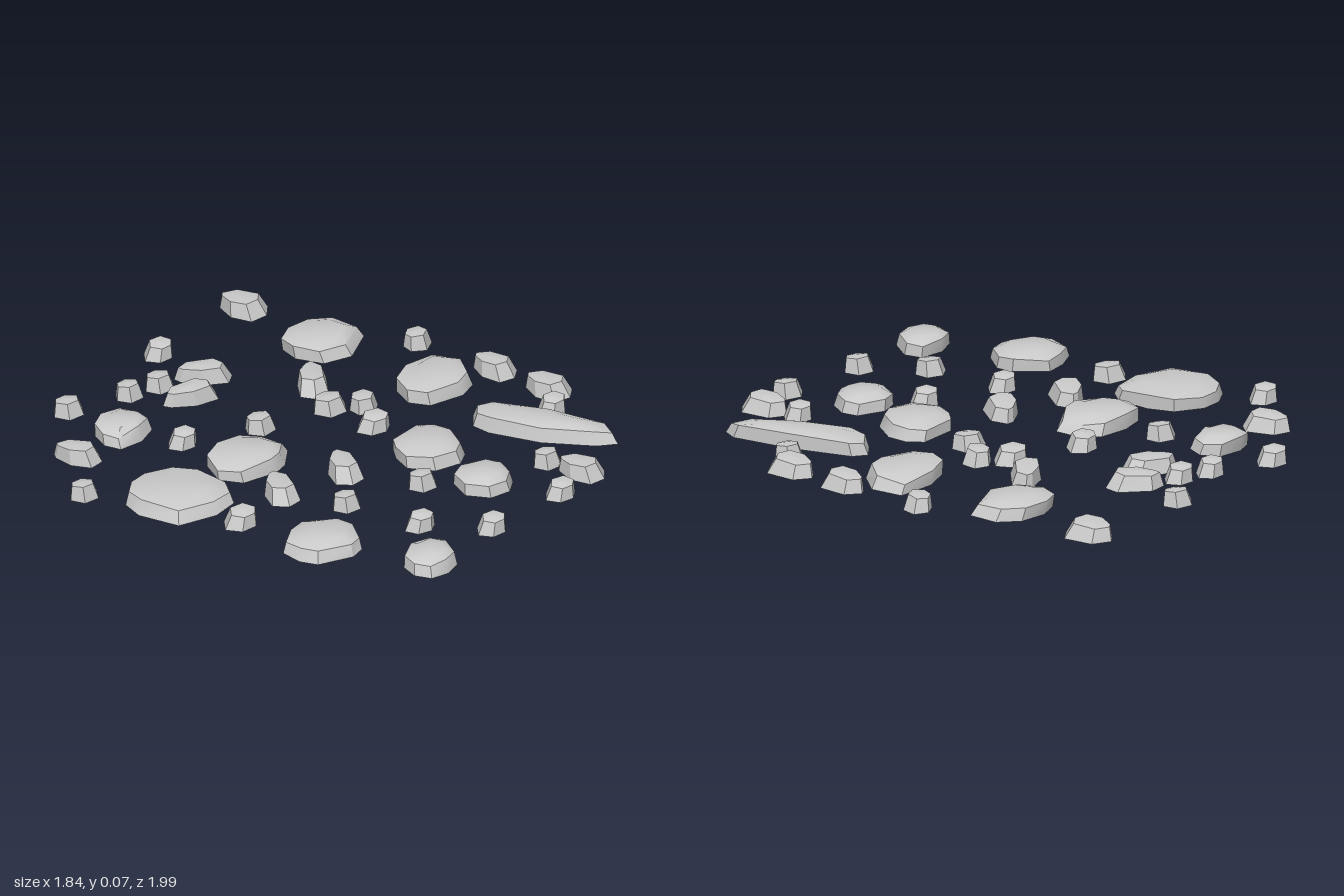
import * as THREE from 'three';
import { toCreasedNormals } from 'three/addons/utils/BufferGeometryUtils.js';

const material = new THREE.MeshStandardMaterial({ color: 0xcccccc, side: THREE.DoubleSide });

// Open-bottomed stone: ground outline, then rings [scale, shift, height rule], then a crown point.
function stoneGeometry(outline, rings, crown, crease) {
  const n = outline.length, pos = [], idx = [];
  const far = Math.max(...outline.map(([x, z]) => Math.hypot(x, z)));
  for (const { scale, shift, height } of rings) {
    for (const [x, z] of outline) {
      const reach = Math.hypot(x, z) / far;
      pos.push(x * scale + shift[0], height(reach, Math.atan2(z, x)), z * scale + shift[1]);
    }
  }
  pos.push(...crown);
  const last = (rings.length - 1) * n;
  for (let i = 0; i < n; i++) {
    const j = (i + 1) % n;
    for (let r = 0; r < last; r += n) {
      idx.push(r + i, r + n + i, r + j, r + j, r + n + i, r + n + j);
    }
    idx.push(last + i, last + n, last + j);
  }
  const geo = new THREE.BufferGeometry();
  geo.setAttribute('position', new THREE.Float32BufferAttribute(pos, 3));
  geo.setIndex(idx);
  return toCreasedNormals(geo, crease);
}

export function createModel() {
  const group = new THREE.Group();
  const add = (name, geo, x, z, turn = 0) => {
    const mesh = new THREE.Mesh(geo, material);
    mesh.name = name;
    mesh.position.set(x, 0, z);
    mesh.rotation.y = turn;
    group.add(mesh);
  };
  const ground = { scale: 1, shift: [0, 0], height: () => 0 };

  // Large slabs: outline in hundredths, shoulder shifted so one flank is steeper
  const slab = (x, z, shift, points) => {
    const outline = points.map(([a, b]) => [a / 100, b / 100]);
    const h = 0.067, inner = shift.map((s) => s * 0.6);
    add('largeStone', stoneGeometry(outline, [
      ground,
      { scale: 0.93, shift, height: (r, t) => h * (0.88 - 0.3 * r ** 5 + 0.06 * Math.cos(2 * t + x * 9)) },
      { scale: 0.6, shift: inner, height: () => h * 0.96 },
    ], [inner[0], h, inner[1]], 0.6), x, z);
  };
  slab(-0.38, -0.68, [0, -0.012], [[-12, 0], [-8, -7], [-1, -9], [9, -7], [12, 0], [9, 7], [-1, 9.5], [-11, 7]]);
  slab(0.635, -0.49, [-0.012, -0.012], [[-15, -2], [-12, -10], [-3, -13], [8, -11], [15, -4], [15, 8], [-1, 14], [-12, 9]]);
  slab(-0.71, -0.195, [0.012, -0.01], [[-17, -5], [-13, -14], [-5, -18.5], [4, -18.5], [14, -12], [17.5, -2], [17, 12], [12, 18], [0, 18.5], [-15, 12]]);
  slab(-0.3, -0.16, [-0.012, -0.006], [[-17.5, -1], [-11, -11], [-1, -13], [11, -11], [16.5, -4], [17, 6], [7, 12], [0, 13], [-14, 8]]);
  slab(0.615, 0.04, [-0.01, -0.007], [[-17, 0], [-12, -9], [0, -13], [16, -11.5], [17.5, 1.5], [9, 11], [0, 13], [-14, 8]]);
  slab(-0.68, 0.46, [0.008, -0.006], [[-15, 0], [-13, -9], [-4, -13], [5, -14], [14, -3], [14.5, 4], [7, 13], [0, 14], [-13, 7]]);
  slab(0.165, 0.345, [-0.006, -0.008], [[-15, 0], [-11, -8], [-6, -13], [10, -13], [14, -7], [14, 1], [7, 11], [0, 14], [-10.5, 10]]);
  slab(0.085, 0.65, [-0.004, -0.005], [[-12, 0], [-7, -9], [0.5, -11], [11, -6], [12, 0.5], [7.5, 8], [0.5, 11.5], [-8, 9]]);
  slab(-0.55, 0.865, [0.003, -0.008], [[-12, 1], [-9, -6], [0, -9.5], [10, -7.5], [11.5, -0.5], [5, 8.5], [-3, 10], [-10, 7.5]]);
  slab(0.545, 0.58, [0.004, -0.005], [[-12, -15.5], [-11, -23.5], [-4, -28.5], [1, -24.5], [8, -2], [12, 23], [9, 29], [3, 23.5], [-7, 5]]);

  // Faceted stones from one shared outline, with a tilted top
  const faceted = (outline, rx, rz, h) => stoneGeometry(
    outline.map(([a, b]) => [a * rx, b * rz]),
    [ground, { scale: 0.76, shift: [-0.1 * rx, -0.1 * rz], height: (r, t) => h * (0.9 + 0.08 * Math.cos(t - 2)) }],
    [-0.1 * rx, h, -0.1 * rz], 0.2);

  // Medium oblong stones: x, z, half width, half length, turn
  const oblong = [[-1, 0], [-0.5, -0.8], [-0.1, -1], [0.8, -0.6], [1, 0.6], [0.2, 1], [-0.8, 0.85]];
  for (const [x, z, rx, rz, turn] of [
    [-0.64, -0.7, 0.065, 0.095, 0.2], [-0.01, -0.64, 0.062, 0.115, 1.1],
    [0.16, -0.7, 0.063, 0.11, 0.7], [0.69, -0.9, 0.077, 0.099, 0],
    [0.35, -0.33, 0.06, 0.112, -0.95], [-0.43, 0.085, 0.063, 0.107, -0.75],
    [-0.15, 0.175, 0.063, 0.107, -0.75], [0.84, 0.15, 0.065, 0.095, -0.15],
    [0.83, 0.405, 0.07, 0.1, -0.1], [0.365, 0.895, 0.068, 0.098, 0],
  ]) add('mediumStone', faceted(oblong, rx, rz, 0.064), x, z, turn);

  // Small pebbles: x, z, half size, turn
  const pebble = [[-1, -0.35], [-0.35, -0.85], [0.6, -0.7], [1, 0.15], [0.25, 0.85], [-0.8, 0.6]];
  for (const [x, z, r, turn] of [
    [-0.36, -0.94, 0.066, 0], [0.2, -0.94, 0.063, 3.1], [-0.12, -0.835, 0.06, 0.1],
    [0.005, -0.785, 0.063, 0], [-0.87, -0.5, 0.062, 0], [-0.325, -0.45, 0.061, 3],
    [-0.045, -0.285, 0.066, 0.2], [0.235, -0.165, 0.073, 0], [0.32, -0.075, 0.066, 0.7],
    [0.85, -0.21, 0.064, 0.6], [-0.715, 0.1, 0.072, 3.1], [0.2, 0.05, 0.068, 2.9],
    [-0.365, 0.345, 0.061, 0], [-0.06, 0.475, 0.062, 0], [0.705, 0.51, 0.061, 3.1],
    [-0.345, 0.66, 0.061, 2.9], [-0.205, 0.89, 0.063, 3.1], [0.17, 0.935, 0.063, 3],
    [0.355, 0.75, 0.061, 0],
  ]) add('pebble', faceted(pebble, r, r * 0.98, 0.063), x, z, turn);

  return group;
}
